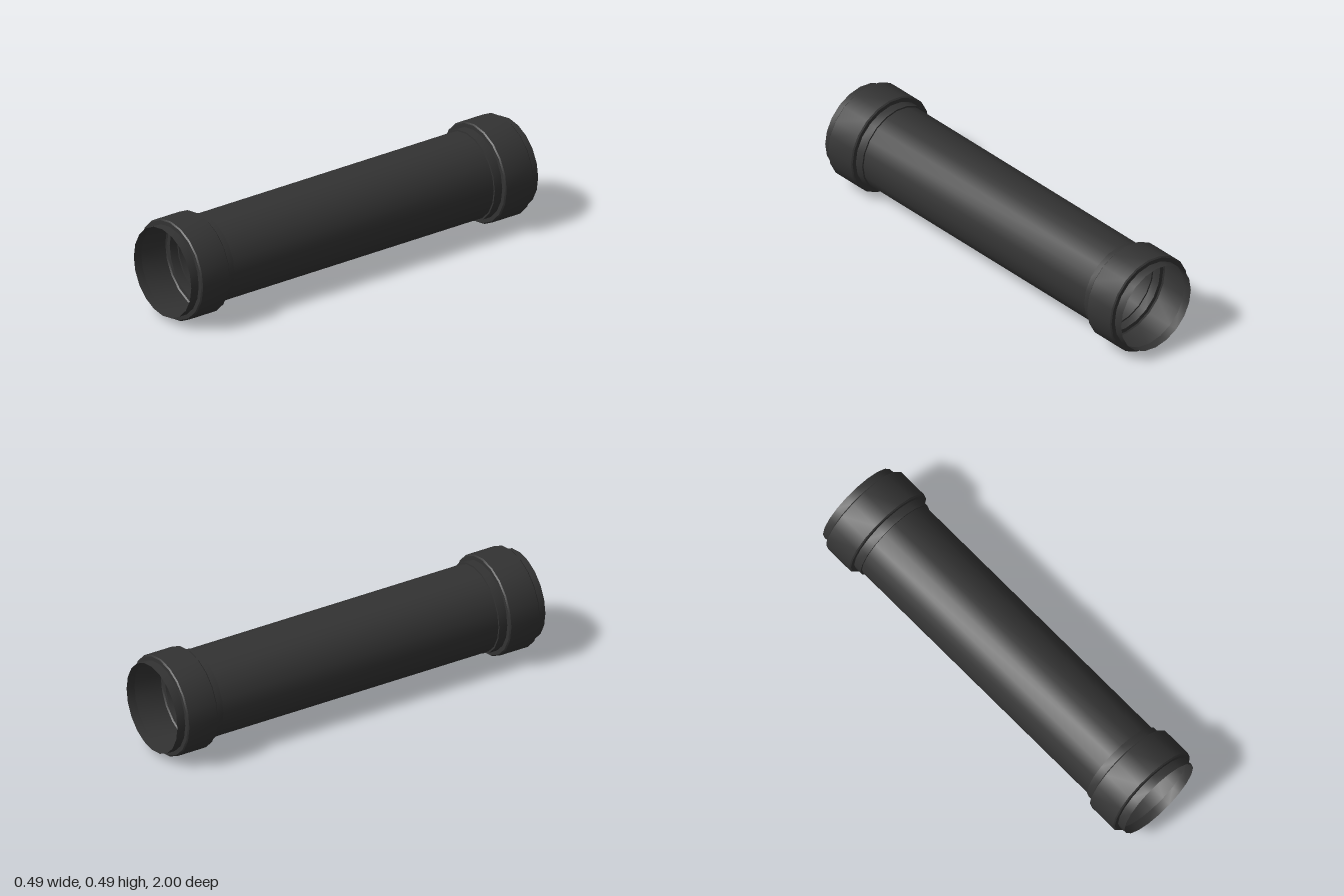
import * as THREE from 'three';
import { toCreasedNormals } from 'three/addons/utils/BufferGeometryUtils.js';

const SIDES = 20;
const AXIS_Y = 0.244;

// Thin shell revolved around the z axis from [radius, z] pairs
function shell(name, profile, material) {
  const points = profile.map(([r, z]) => new THREE.Vector2(r, z));
  const geometry = new THREE.LatheGeometry(points, SIDES).rotateX(Math.PI / 2);
  const mesh = new THREE.Mesh(toCreasedNormals(geometry, 0.6), material);
  mesh.name = name;
  return mesh;
}

export function createModel() {
  const model = new THREE.Group();
  model.name = 'pipe';
  const material = new THREE.MeshStandardMaterial({ color: 0x333333, side: THREE.DoubleSide });

  const assembly = new THREE.Group();
  assembly.name = 'pipeAssembly';
  assembly.position.y = AXIS_Y;
  model.add(assembly);

  // Long straight tube, open at both ends
  assembly.add(shell('pipeBody', [[0.21, -0.75], [0.21, 0.75]], material));

  // Stepped socket: sleeve, bevelled collar, end lip
  const socketProfile = [
    [0.21, 0.75], [0.218, 0.75], [0.218, 0.793],
    [0.238, 0.793], [0.244, 0.799], [0.244, 0.951], [0.238, 0.957],
    [0.218, 0.957], [0.218, 1],
  ];
  const front = shell('frontSocket', socketProfile, material);
  const back = shell('backSocket', socketProfile, material);
  back.rotation.y = Math.PI;
  assembly.add(front, back);

  return model;
}
